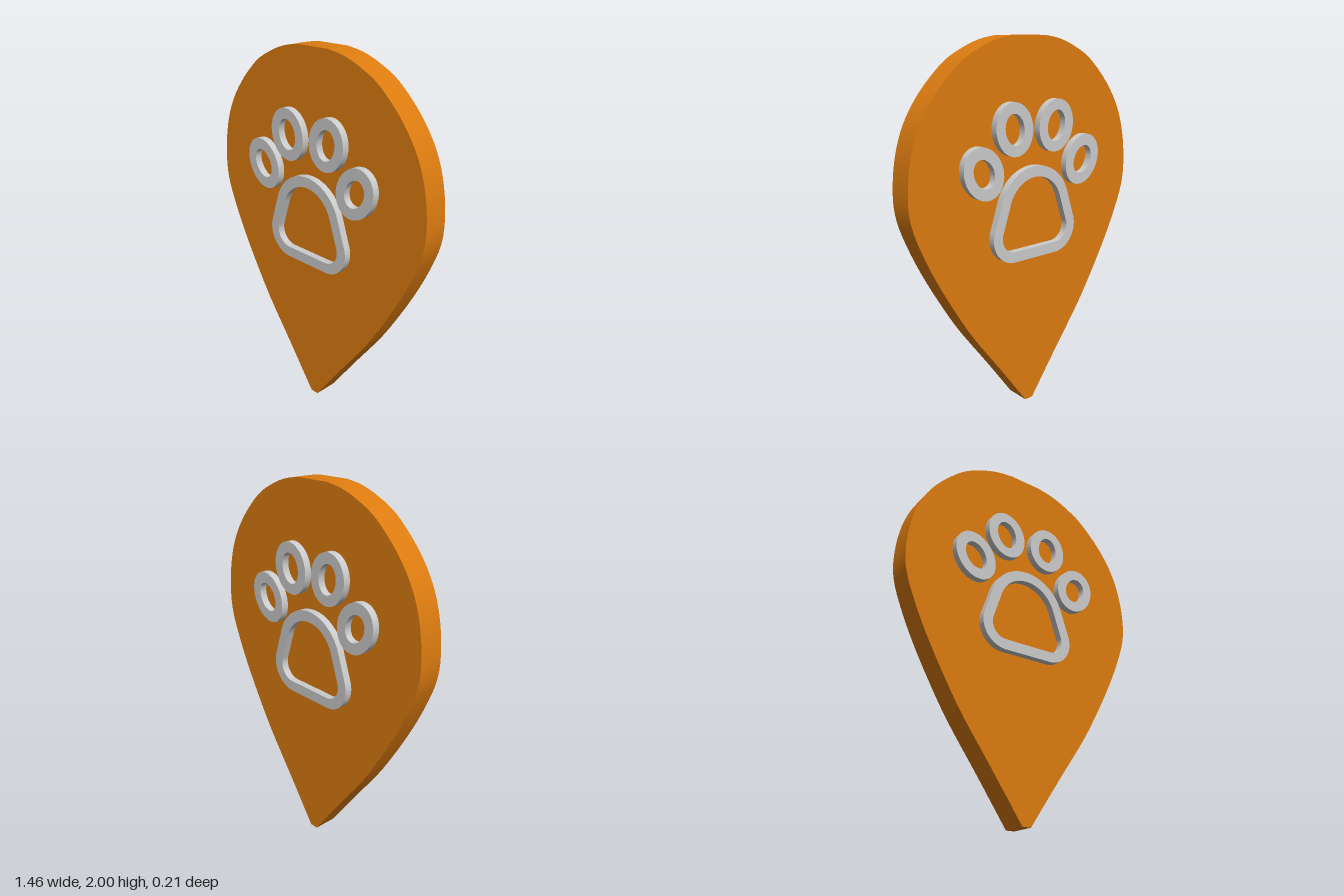
import * as THREE from 'three';
import { toCreasedNormals } from 'three/addons/utils/BufferGeometryUtils.js';

const PAW_X = -0.012;          // the paw sits a touch off centre
const PLATE_DEPTH = 0.136;
const PAW_DEPTH = 0.214;       // rings pass through the plate and stand proud on both faces

// Extrude a shape centred on z = 0, smooth round the curves and sharp at the rims
function slab(name, shape, depth, material) {
  const geometry = new THREE.ExtrudeGeometry(shape, { depth, bevelEnabled: false, curveSegments: 24 });
  geometry.translate(0, 0, -depth / 2);
  const mesh = new THREE.Mesh(toCreasedNormals(geometry, 0.45), material);
  mesh.name = name;
  return mesh;
}

// Teardrop outline: one half as a spline, mirrored for the other
function teardropShape() {
  const half = new THREE.SplineCurve([
    [0.1, 2], [0.2, 1.983], [0.305, 1.945], [0.425, 1.878], [0.56, 1.747], [0.655, 1.605],
    [0.708, 1.45], [0.728, 1.28], [0.715, 1.15], [0.665, 1.01], [0.59, 0.85], [0.49, 0.67],
    [0.375, 0.485], [0.2, 0.245], [0.025, 0],
  ].map(([x, y]) => new THREE.Vector2(x, y))).getPoints(56);
  const mirrored = half.map((p) => new THREE.Vector2(-p.x, p.y)).reverse();
  return new THREE.Shape([...half, ...mirrored]);
}

// Oval ring with its long axis upright
function toeShape(width, height, innerWidth, innerHeight) {
  const shape = new THREE.Shape();
  shape.absellipse(0, 0, width, height, 0, Math.PI * 2, false);
  const hole = new THREE.Path();
  hole.absellipse(0, 0, innerWidth, innerHeight, 0, Math.PI * 2, true);
  shape.holes.push(hole);
  return shape;
}

// Pad outline: a big top arc and two bottom corners joined by tangents, shrunk by inset
function tracePad(path, inset) {
  const tangent = THREE.MathUtils.degToRad(18.5);
  const corner = 0.14 - inset;
  path.absarc(0, 1.118, 0.235 - inset, tangent, Math.PI - tangent, false);
  path.absarc(-0.14, 0.999, corner, Math.PI - tangent, Math.PI * 1.5, false);
  path.absarc(0.14, 0.999, corner, -Math.PI / 2, tangent, false);
  path.closePath();
  return path;
}

export function createModel() {
  const model = new THREE.Group();
  model.name = 'pawTag';
  const orange = new THREE.MeshStandardMaterial({ color: 0xdd7c10 });
  const grey = new THREE.MeshStandardMaterial({ color: 0xcccccc });

  model.add(slab('teardropPlate', teardropShape(), PLATE_DEPTH, orange));

  const paw = new THREE.Group();
  paw.name = 'paw';
  paw.position.x = PAW_X;
  model.add(paw);

  // Main pad ring
  const pad = tracePad(new THREE.Shape(), 0);
  pad.holes.push(tracePad(new THREE.Path(), 0.057));
  paw.add(slab('mainPad', pad, PAW_DEPTH, grey));

  // Two pairs of toe rings, leaning outwards
  const toes = [
    { name: 'InnerToe', x: 0.139, y: 1.549, tilt: 12, size: [0.117, 0.137, 0.06, 0.081] },
    { name: 'OuterToe', x: 0.333, y: 1.35, tilt: 30, size: [0.115, 0.141, 0.059, 0.079] },
  ];
  for (const { name, x, y, tilt, size } of toes) {
    for (const [side, sign] of [['left', 1], ['right', -1]]) {
      const toe = slab(side + name, toeShape(...size), PAW_DEPTH, grey);
      toe.position.set(sign * x, y, 0);
      toe.rotation.z = -sign * THREE.MathUtils.degToRad(tilt);
      paw.add(toe);
    }
  }
  return model;
}
